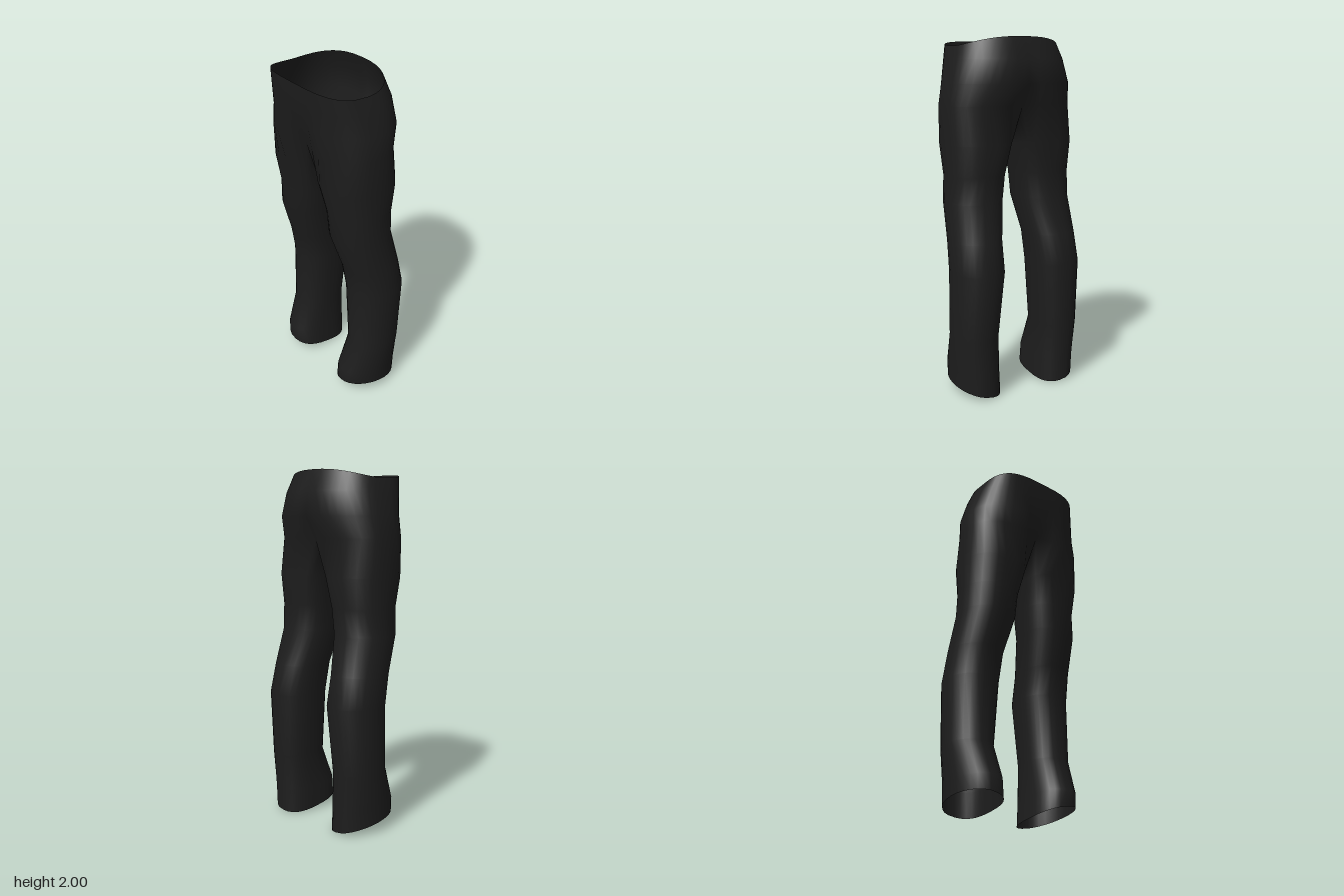
import * as THREE from 'three';
import { mergeVertices } from 'three/addons/utils/BufferGeometryUtils.js';

const OUT = 20; // segments around the outer side of each half
const INN = 8; // segments around the inner side of each leg
const spow = (v, p) => Math.sign(v) * Math.abs(v) ** p;

// Leg sections: y, inner x, outer x, front z, back z, inner and outer roundness (1 is an ellipse),
// tilt (front higher than back), lean (outside higher than inside)
const LEG = [
  [0.041, 0.13, 0.387, 0.14, -0.233, 0.75, 1, 0.06, 0.02],
  [0.15, 0.135, 0.39, 0.14, -0.235, 0.8, 1, 0.02, 0],
  [0.35, 0.145, 0.4, 0.07, -0.24, 0.85, 0.98, 0, 0],
  [0.72, 0.11, 0.402, 0.07, -0.262, 0.85, 0.95, 0, 0],
  [0.89, 0.105, 0.395, 0.1, -0.225, 0.85, 0.95, 0, 0],
  [1.1, 0.067, 0.385, 0.165, -0.172, 0.85, 0.92, 0, 0],
  [1.25, 0.055, 0.38, 0.172, -0.177, 0.8, 0.95, 0, 0],
  [1.42, 0.022, 0.39, 0.2, -0.19, 0.66, 0.85, 0, 0],
];
// Hip sections: y, half width, front z, back z, front and back roundness,
// front and back dip at the centre seam, front and back rise
const HIPS = [
  [1.63, 0.385, 0.24, -0.202, 0.74, 0.76, 0.05, 0.03, 0, 0],
  [1.75, 0.372, 0.247, -0.257, 0.76, 0.9, 0.015, 0.02, 0, 0],
  [1.88, 0.337, 0.258, -0.235, 0.66, 0.86, 0, 0.01, 0, 0],
  [1.95, 0.312, 0.264, -0.186, 0.6, 0.82, 0, 0, 0.03, 0.05],
];

// Closed ring round a leg, starting at the front inner corner and going outward
function legRing([y, xi, xo, zf, zb, pIn, pOut, tilt, lean]) {
  const ring = [];
  const start = -0.85, outer = Math.PI + 1.7, inner = 2 * Math.PI - outer;
  for (let i = 0; i <= OUT + INN; i++) {
    const a = i <= OUT ? start + (outer * i) / OUT : start + outer + (inner * (i - OUT)) / INN;
    const p = Math.sin(a) < 0 ? pIn : pOut;
    const c = spow(Math.cos(a), p);
    const s = spow(Math.sin(a), p);
    ring.push([
      (xi + xo) / 2 + ((xo - xi) / 2) * s,
      y + (tilt / 2) * c + lean * s,
      (zf + zb) / 2 + ((zf - zb) / 2) * c,
    ]);
  }
  return ring;
}

// Half ring round the hips from the front seam to the back seam
function hipRing([y, w, zf, zb, pF, pB, dipF, dipB, riseF, riseB]) {
  const ring = [];
  for (let i = 0; i <= OUT; i++) {
    const a = (Math.PI * i) / OUT;
    const front = Math.cos(a) > 0;
    const p = front ? pF : pB;
    const c = spow(Math.cos(a), p);
    const x = i % OUT ? w * Math.sin(a) ** p : 0;
    const seam = Math.max(0, 1 - x / 0.13);
    const z = (zf + zb) / 2 + ((zf - zb) / 2) * c - (front ? dipF : -dipB) * seam;
    ring.push([x, y + (front ? riseF : riseB) * c * c, z]);
  }
  return ring;
}

function trousersGeometry() {
  const hips = HIPS.map(hipRing);

  // Crotch curve on the centre plane closes the top ring of each leg
  const crotch = [];
  const back = hips[0][OUT], front = hips[0][0];
  for (let i = 1; i <= INN; i++) {
    const s = i / INN;
    crotch.push([0, back[1] - 0.13 * Math.sin(Math.PI * s) ** 0.8, back[2] + (front[2] - back[2]) * s]);
  }
  const legs = [...LEG.map(legRing), [...hips[0], ...crotch]];

  const pos = [];
  const tri = (a, b, c) => {
    pos.push(...a, ...b, ...c);
    for (const [x, y, z] of [a, c, b]) pos.push(x ? -x : 0, y, z); // mirrored half
  };
  for (const rings of [legs, hips]) {
    for (let r = 0; r < rings.length - 1; r++) {
      const lo = rings[r], hi = rings[r + 1];
      for (let i = 0; i < lo.length - 1; i++) {
        tri(lo[i], lo[i + 1], hi[i + 1]);
        tri(lo[i], hi[i + 1], hi[i]);
      }
    }
  }
  let geo = new THREE.BufferGeometry();
  geo.setAttribute('position', new THREE.Float32BufferAttribute(pos, 3));
  geo = mergeVertices(geo, 1e-4);
  geo.computeVertexNormals();
  return geo;
}

export function createModel() {
  const group = new THREE.Group();
  group.name = 'trousers';
  const cloth = new THREE.MeshStandardMaterial({ color: 0x1d1d1d, side: THREE.DoubleSide });
  cloth.name = 'black cloth';
  const mesh = new THREE.Mesh(trousersGeometry(), cloth);
  mesh.name = 'trouserCloth';
  group.add(mesh);
  return group;
}
